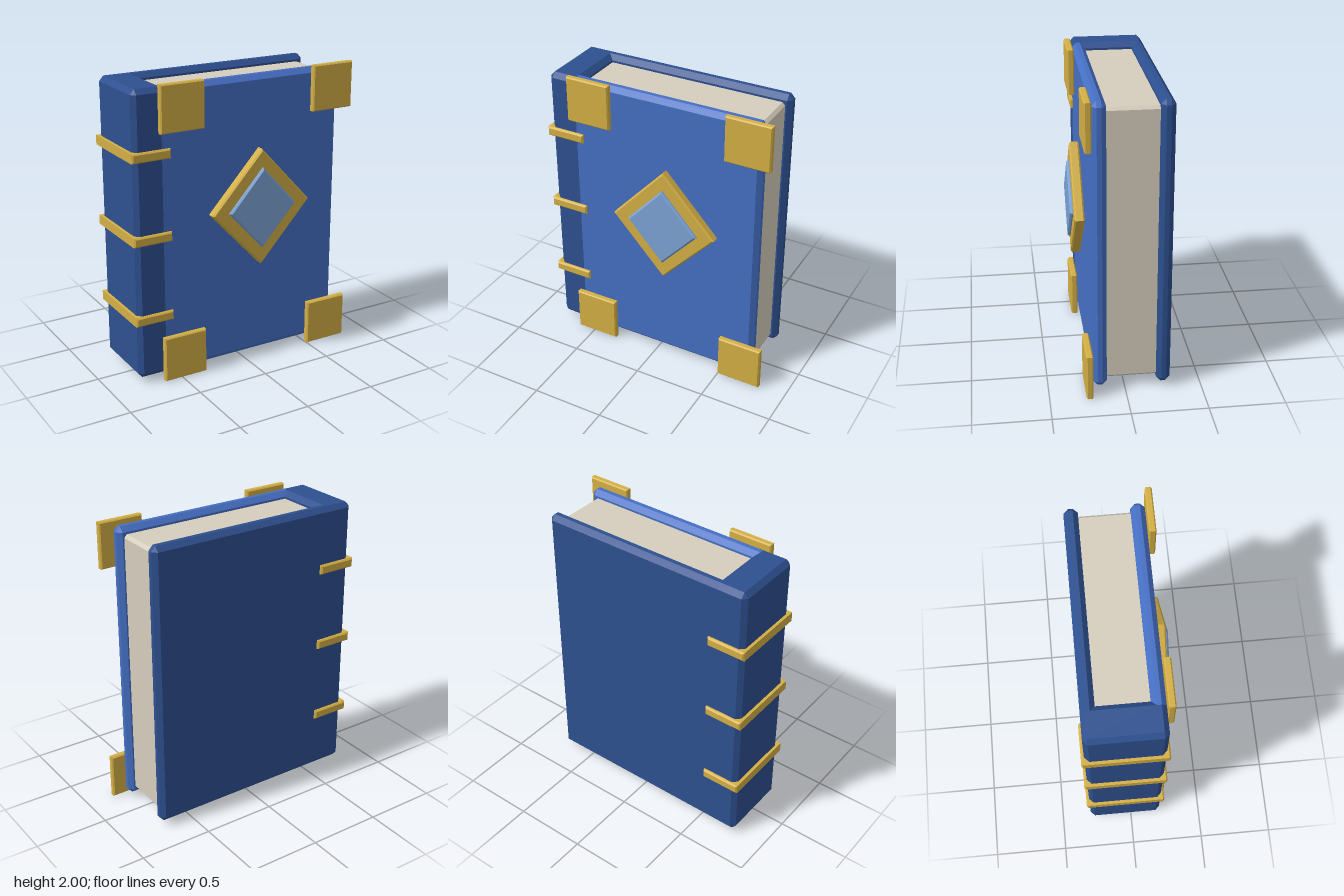
import * as THREE from 'three';

const material = (name, color) => {
  const m = new THREE.MeshStandardMaterial({ color });
  m.name = name;
  return m;
};

// Upright prism with chamfered ends. Each point is [x, z, inset x, inset z],
// listed counter-clockwise as seen from above.
function chamferedPrism(points, y0, y1, bevel) {
  const outer = y => points.map(p => [p[0], y, p[1]]);
  const inset = y => points.map(p => [p[2], y, p[3]]);
  const rings = [inset(y0), outer(y0 + bevel), outer(y1 - bevel), inset(y1)];
  const n = points.length;
  const pos = [];
  const tri = (...corners) => corners.forEach(c => pos.push(...c));
  for (let r = 0; r < 3; r++) {
    for (let i = 0; i < n; i++) {
      const j = (i + 1) % n;
      const [a, b, c, d] = [rings[r][i], rings[r][j], rings[r + 1][j], rings[r + 1][i]];
      tri(a, b, c);
      tri(a, c, d);
    }
  }
  for (let i = 1; i < n - 1; i++) {
    tri(rings[3][0], rings[3][i], rings[3][i + 1]);
    tri(rings[0][0], rings[0][i + 1], rings[0][i]);
  }
  const g = new THREE.BufferGeometry();
  g.setAttribute('position', new THREE.Float32BufferAttribute(pos, 3));
  g.computeVertexNormals();
  return g;
}

// Plate facing front, with chamfered front and back rims
function plate(corners, z0, z1, bevel) {
  const shape = new THREE.Shape(corners.map(c => new THREE.Vector2(...c)));
  const g = new THREE.ExtrudeGeometry(shape, {
    depth: z1 - z0 - 2 * bevel, bevelEnabled: true, bevelSegments: 1,
    bevelSize: bevel, bevelThickness: bevel, bevelOffset: -bevel,
  });
  return g.translate(0, 0, z0 + bevel);
}

const rect = (x0, x1, y0, y1) => [[x0, y0], [x1, y0], [x1, y1], [x0, y1]];
const diamond = (x, y, w, h) => [[x, y - h], [x + w, y], [x, y + h], [x - w, y]];

export function createModel() {
  const coverBlue = material('cover blue', 0x456fc4);
  const spineBlue = material('dark spine blue', 0x2e5090);
  const gold = material('gold', 0xd4af45);
  const paper = material('paper', 0xd6cebd);
  const gemBlue = material('gem blue', 0x7ca3d6);

  const book = new THREE.Group();
  book.name = 'book';
  const add = (name, geometry, mat) => {
    const mesh = new THREE.Mesh(geometry, mat);
    mesh.name = name;
    book.add(mesh);
  };

  // Binding: spine and two covers meeting at a mitred joint
  const Y0 = 0.035, Y1 = 1.975, B = 0.033;
  add('spine', chamferedPrism([
    [-0.76, -0.295, -0.76, -0.265], [-0.79, -0.265, -0.76, -0.265],
    [-0.79, 0.18, -0.76, 0.18], [-0.76, 0.21, -0.76, 0.18],
    [-0.595, 0.21, -0.595, 0.18], [-0.56, 0.12, -0.595, 0.15],
    [-0.56, -0.205, -0.595, -0.235], [-0.595, -0.295, -0.595, -0.265],
  ], Y0, Y1, B), spineBlue);
  add('frontCover', chamferedPrism([
    [-0.595, 0.21, -0.595, 0.18], [0.7, 0.21, 0.7, 0.18], [0.73, 0.18, 0.7, 0.18],
    [0.73, 0.15, 0.7, 0.15], [0.7, 0.12, 0.7, 0.15], [-0.56, 0.12, -0.595, 0.15],
  ], Y0, Y1, B), coverBlue);
  add('backCover', chamferedPrism([
    [-0.595, -0.295, -0.595, -0.265], [-0.56, -0.205, -0.595, -0.235],
    [0.7, -0.205, 0.7, -0.235], [0.73, -0.235, 0.7, -0.235],
    [0.73, -0.265, 0.7, -0.265], [0.7, -0.295, 0.7, -0.265],
  ], Y0, Y1, B), spineBlue);

  // Page block
  add('pages', chamferedPrism([
    [-0.57, -0.205, -0.57, -0.205], [-0.57, 0.12, -0.57, 0.12],
    [0.69, 0.12, 0.67, 0.12], [0.69, -0.205, 0.67, -0.205],
  ], 0.075, 1.928, 0.02), paper);

  // Bands around the spine
  for (const y of [0.455, 1.003, 1.552]) {
    add('spineBand', plate(rect(-0.81, -0.54, y - 0.032, y + 0.032), -0.315, 0.23, 0.01), gold);
  }

  // Corner plates
  for (const x of [-0.625, 0.5]) {
    for (const y of [0, 1.69]) {
      add('cornerPlate', plate(rect(x, x + 0.308, y, y + 0.31), 0.217, 0.262, 0.008), gold);
    }
  }

  // Central ornament
  add('gemFrame', plate(diamond(0.09, 1.105, 0.37, 0.4), 0.228, 0.293, 0.01), gold);
  add('gem', plate(diamond(0.09, 1.105, 0.253, 0.278), 0.27, 0.313, 0.012), gemBlue);

  return book;
}
